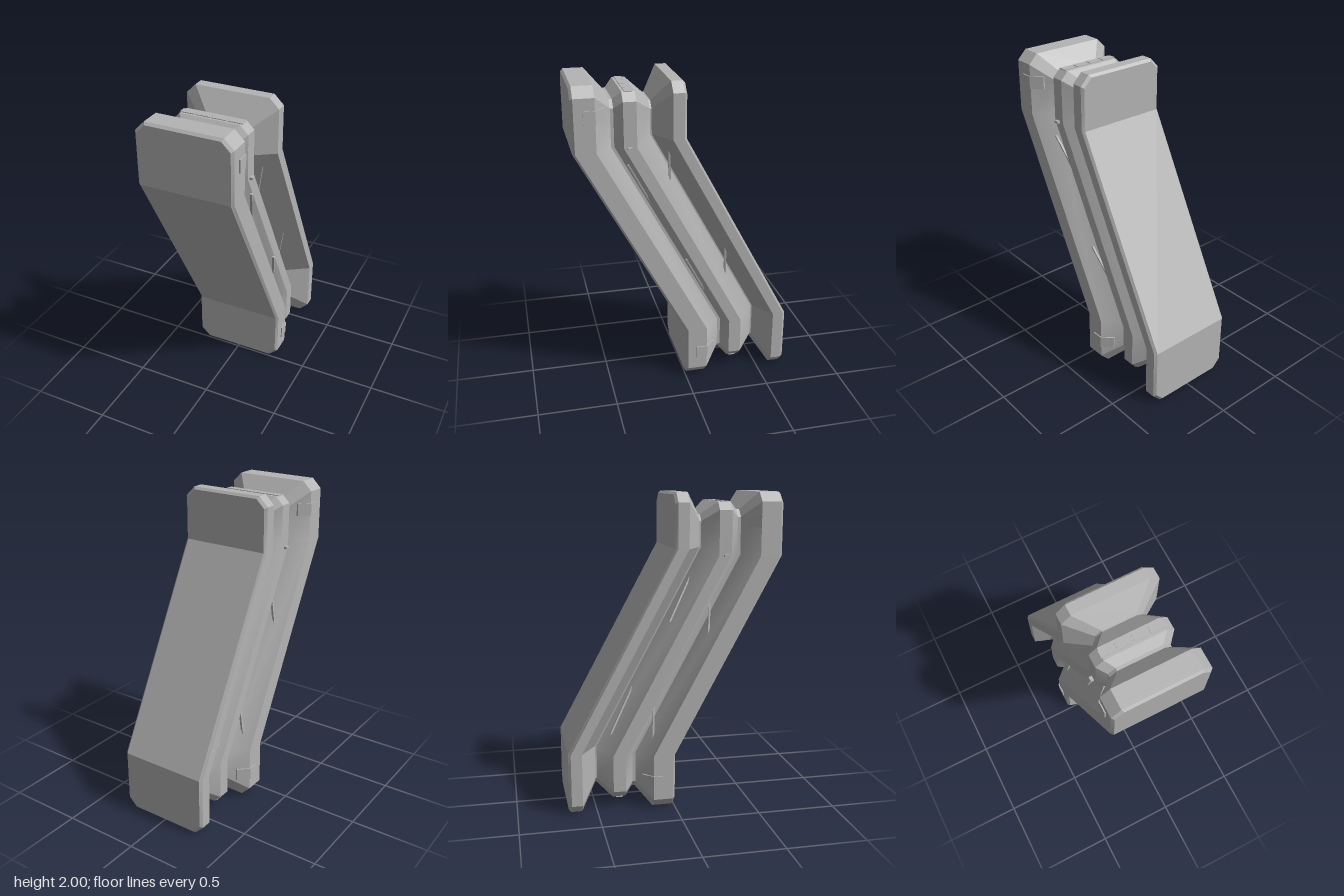
import * as THREE from 'three';
import { toCreasedNormals } from 'three/addons/utils/BufferGeometryUtils.js';

const SHIFT = 0.68, RISE = 1.26;
// Forward offset of the kinked spine at height y, for a lower knee height
const spine = (y, knee) => SHIFT * THREE.MathUtils.clamp((y - knee) / RISE, 0, 1);

// Layers from front to back: depth, half width, end inset, corner chamfer, lower knee
const LAYERS = [
  [0, 0.285, 0.015, 0.055, 0.35],
  [0.015, 0.3, 0, 0.06, 0.35],
  [0.14, 0.3, 0, 0.06, 0.35],
  [0.24, 0.19, 0.11, 0.045, 0.35],
  [0.26, 0.19, 0.11, 0.045, 0.35],
  [0.31, 0.24, 0.06, 0.05, 0.35],
  [0.39, 0.24, 0.06, 0.05, 0.35],
  [0.485, 0.15, 0.14, 0.04, 0.4],
  [0.495, 0.15, 0.14, 0.04, 0.4],
  [0.595, 0.3, 0, 0.06, 0.4],
  [0.665, 0.3, 0, 0.06, 0.4],
  [0.68, 0.285, 0.015, 0.055, 0.4],
];

// Loft of chamfered outlines, folded along the spine
function bodyGeometry() {
  const pos = [], idx = [], N = 12;
  for (const [d, w, inset, c, knee] of LAYERS) {
    const right = [
      [w - c, inset], [w, inset + c], [w, knee],
      [w, knee + RISE], [w, 2 - inset - c], [w - c, 2 - inset],
    ];
    const ring = [...right, ...right.map(([x, y]) => [-x, y]).reverse()];
    for (const [x, y] of ring) pos.push(x, y, spine(y, knee) - d);
  }
  const quad = (a, b, c, d) => idx.push(a, b, c, a, c, d);
  for (let i = 0; i < LAYERS.length - 1; i++) {
    for (let j = 0; j < N; j++) {
      const k = (j + 1) % N;
      quad(i * N + j, (i + 1) * N + j, (i + 1) * N + k, i * N + k);
    }
  }
  // Front and back caps in horizontal rows
  const last = (LAYERS.length - 1) * N;
  for (let j = 0; j < 5; j++) {
    quad(11 - j, j, j + 1, 10 - j);
    quad(last + j, last + 11 - j, last + 10 - j, last + j + 1);
  }
  const g = new THREE.BufferGeometry();
  g.setAttribute('position', new THREE.Float32BufferAttribute(pos, 3));
  g.setIndex(idx);
  return toCreasedNormals(g, 0.4);
}

export function createModel() {
  const model = new THREE.Group();
  model.name = 'angledPanel';
  const grey = new THREE.MeshStandardMaterial({ color: 0xb4b4b4 });
  grey.name = 'grey';

  const add = (name, geometry, x = 0, y = 0, z = 0) => {
    const mesh = new THREE.Mesh(geometry, grey);
    mesh.name = name;
    mesh.position.set(x, y, z);
    model.add(mesh);
    return mesh;
  };

  add('body', bodyGeometry());

  // Thin strip lying on a sloped side, between heights y0 and y1
  const along = new THREE.Vector3(0, RISE, SHIFT).normalize();
  function strip(side, y0, y1, knee, d, w, acrossX, acrossZ) {
    const across = new THREE.Vector3(side * acrossX, 0, acrossZ);
    across.addScaledVector(along, -across.dot(along)).normalize();
    const normal = new THREE.Vector3().crossVectors(along, across);
    const ym = (y0 + y1) / 2;
    const length = (y1 - y0) / along.y;
    const mesh = add('sideStrip', new THREE.BoxGeometry(0.014, length, 0.012),
      side * w, ym, spine(ym, knee) - d);
    mesh.quaternion.setFromRotationMatrix(new THREE.Matrix4().makeBasis(across, along, normal));
  }

  // Bracket that wraps from a slab's side onto its bevel
  const t = 0.007;
  const wrap = new THREE.Shape([
    [0.29, 0.07], [0.3 + t, 0.07], [0.3 + t, 0.142], [0.244, 0.205], [0.23, 0.2], [0.29, 0.14],
  ].map(([x, d]) => new THREE.Vector2(x, d)));
  const bracket = new THREE.ExtrudeGeometry(wrap, { depth: 0.08, bevelEnabled: false });
  bracket.rotateX(-Math.PI / 2);
  const bracketLeft = bracket.clone().rotateZ(Math.PI).translate(0, 0.08, 0);

  for (const side of [-1, 1]) {
    for (const [y0, y1] of [[1.06, 1.54], [0.39, 0.88]]) strip(side, y0, y1, 0.35, 0.275, 0.205, -1, 1);
    for (const [y0, y1] of [[1.18, 1.62], [0.47, 0.96]]) strip(side, y0, y1, 0.4, 0.458, 0.176, 1, 1);
    const g = side > 0 ? bracket : bracketLeft;
    add('upperBracket', g, 0, 1.785, SHIFT);
    add('lowerBracket', g, 0, 0.14, 0);
    // Small peg at the upper bend of the middle ridge
    add('peg', new THREE.BoxGeometry(0.03, 0.015, 0.03), side * 0.245, 1.61, 0.335);
  }

  // Plates on both ends of the middle ridge
  for (let i = 0; i < 4; i++) {
    const x = (i - 1.5) * 0.1;
    add('topPlate', new THREE.BoxGeometry(0.092, 0.006, 0.045), x, 1.941, 0.332);
    add('bottomPlate', new THREE.BoxGeometry(0.092, 0.006, 0.045), x, 0.059, -0.348);
  }
  return model;
}
